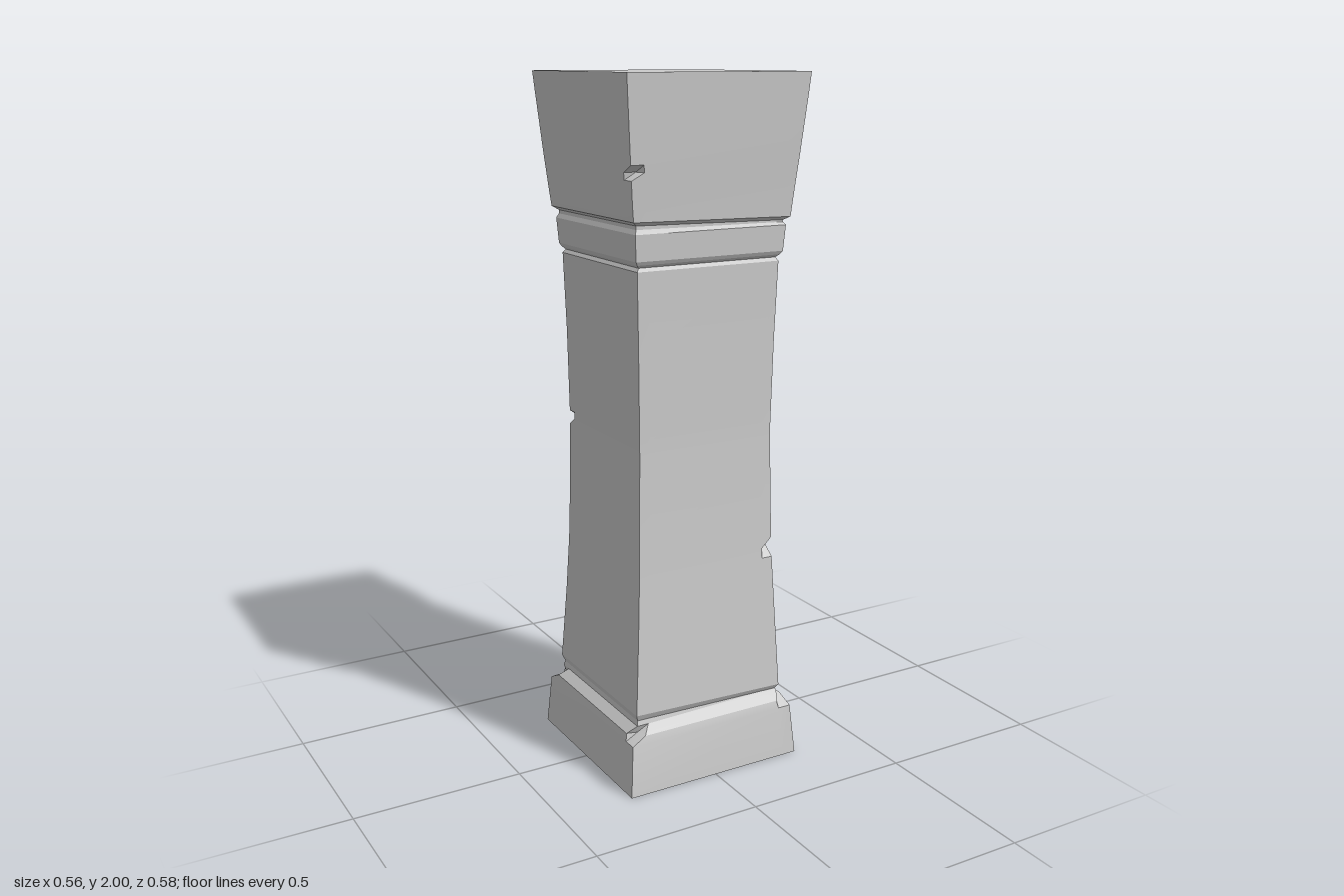
import * as THREE from 'three';
import { toCreasedNormals } from 'three/addons/utils/BufferGeometryUtils.js';

const stone = new THREE.MeshStandardMaterial({ color: 0xcccccc });
const clay = new THREE.MeshStandardMaterial({ color: 0x94806e, side: THREE.DoubleSide });

// Outline of the square section: [x factor, z factor, outward bow of the back]
const OUTLINE = [
  [-1, 1, 0], [-0.85, 1, 0], [0.85, 1, 0], [1, 1, 0],
  [1, 0.85, 0], [1, -0.85, 0], [1, -1, 0],
  [0.83, -1, 0.006], [0.4, -1, 0.015], [-0.4, -1, 0.015], [-0.83, -1, 0.006],
  [-1, -1, 0], [-1, -0.85, 0], [-1, 0.85, 0],
];

// Sections from bottom to top: y, half width, front z, back z, sideways tilt, chipped corners
const SECTIONS = [
  [0, 0.28, 0.288, 0.275],
  [0.15, 0.268, 0.274, 0.263],
  [0.172, 0.264, 0.268, 0.259, 0, [0, 3, 11]],
  [0.195, 0.238, 0.245, 0.235],
  [0.205, 0.235, 0.241, 0.23, -0.02],
  [0.222, 0.242, 0.25, 0.238, -0.03],
  [0.46, 0.229, 0.239, 0.222],
  [0.62, 0.221, 0.231, 0.215],
  [0.65, 0.22, 0.23, 0.214, 0, [3]],
  [0.68, 0.219, 0.229, 0.213],
  [0.98, 0.213, 0.222, 0.21],
  [1.0, 0.213, 0.222, 0.21, 0, [11]],
  [1.02, 0.213, 0.222, 0.21],
  [1.27, 0.217, 0.226, 0.212],
  [1.49, 0.223, 0.232, 0.218],
  [1.5, 0.216, 0.226, 0.211],
  [1.508, 0.225, 0.235, 0.219],
  [1.518, 0.231, 0.241, 0.224],
  [1.59, 0.236, 0.246, 0.229],
  [1.6, 0.23, 0.24, 0.223, -0.01],
  [1.608, 0.23, 0.24, 0.223, -0.02],
  [1.618, 0.245, 0.254, 0.239, -0.02],
  [1.665, 0.25, 0.258, 0.243],
  [1.73, 0.256, 0.264, 0.25],
  [1.75, 0.258, 0.266, 0.252, 0, [0]],
  [1.77, 0.26, 0.268, 0.254],
  [1.95, 0.276, 0.284, 0.27],
  [2, 0.28, 0.288, 0.275],
];

// Sunken areas in the back: columns, height range, depth
const RECESSES = [
  { from: 8, to: 8, low: 0.46, high: 1.27, depth: 0.1 },
  { from: 7, to: 9, low: 1.665, high: 1.95, depth: 0.06 },
];

function makePillar() {
  const n = OUTLINE.length;
  const rings = SECTIONS.map(([y, w, front, back, tilt = 0, chips = []]) =>
    OUTLINE.map(([u, v, bow], i) => {
      const k = chips.includes(i) ? 0.88 : 1;
      const z = v > 0 ? v * front : v * back - bow;
      return new THREE.Vector3(u * w * k, y + tilt * u * w, z * k);
    }));
  const pos = [];
  const tri = (...p) => p.forEach((v) => pos.push(v.x, v.y, v.z));
  const quad = (a, b, c, d) => { tri(a, b, c); tri(a, c, d); };
  const recessAt = (r, i) => RECESSES.find((h) => i >= h.from && i <= h.to
    && r >= 0 && r < SECTIONS.length - 1
    && SECTIONS[r][0] >= h.low && SECTIONS[r + 1][0] <= h.high);

  for (let r = 0; r < rings.length - 1; r++) {
    for (let i = 0; i < n; i++) {
      const j = (i + 1) % n;
      const cell = [rings[r][i], rings[r][j], rings[r + 1][j], rings[r + 1][i]];
      const hole = recessAt(r, i);
      if (!hole) { quad(...cell); continue; }
      // recess floor, then walls where the neighbouring cell is solid
      const deep = cell.map((p) => p.clone().setZ(p.z + hole.depth));
      quad(...deep);
      [[r - 1, i], [r, i + 1], [r + 1, i], [r, i - 1]].forEach(([nr, ni], e) => {
        const f = (e + 1) % 4;
        if (!recessAt(nr, ni)) quad(cell[e], cell[f], deep[f], deep[e]);
      });
    }
  }
  // bottom and top caps
  const bottom = rings[0], top = rings[rings.length - 1];
  for (let i = 0; i < n; i++) {
    const j = (i + 1) % n;
    tri(new THREE.Vector3(0, 0, 0), bottom[j], bottom[i]);
    tri(new THREE.Vector3(0, 2, 0), top[i], top[j]);
  }
  const geo = new THREE.BufferGeometry();
  geo.setAttribute('position', new THREE.Float32BufferAttribute(pos, 3));
  return toCreasedNormals(geo, 0.3);
}

const toPoints = (list) => list.map(([x, y]) => new THREE.Vector2(x, y));

function extrude(outline, holes, depth, bevel = 0) {
  const shape = new THREE.Shape(toPoints(outline));
  holes.forEach((h) => shape.holes.push(new THREE.Path(toPoints(h))));
  return new THREE.ExtrudeGeometry(shape, {
    depth: depth - bevel, bevelEnabled: bevel > 0, bevelThickness: bevel,
    bevelSize: bevel, bevelOffset: -bevel, bevelSegments: 1,
  });
}

// Four-sided outline with separate top and bottom half widths
const panel = (top, bottom, h) => [[-bottom, -h], [bottom, -h], [top, h], [-top, h]];

function add(parent, name, geometry, material, x = 0, y = 0, z = 0, turn = 0) {
  const mesh = new THREE.Mesh(geometry, material);
  mesh.name = name;
  mesh.position.set(x, y, z);
  mesh.rotation.z = turn;
  parent.add(mesh);
  return mesh;
}

// Group facing the back, leaning with the wall
function backGroup(parent, name, y, z, lean) {
  const g = new THREE.Group();
  g.name = name;
  g.position.set(0, y, z);
  g.rotation.set(lean, Math.PI, 0);
  parent.add(g);
  return g;
}

function addSkull(g) {
  const half = [[0.045, 0.12], [0.13, 0.118], [0.168, 0.095], [0.175, 0.01], [0.15, -0.03],
    [0.1, -0.042], [0.075, -0.055], [0.07, -0.085]];
  const outline = [...half, ...half.map(([x, y]) => [-x, y]).reverse()];
  const eye = (cx) => Array.from({ length: 6 }, (_, k) => {
    const a = Math.PI / 2 + k * Math.PI / 3;
    return [cx + 0.046 * Math.cos(a), 0.022 + 0.046 * Math.sin(a)];
  });
  const nose = [[0, -0.012], [-0.022, -0.058], [0.022, -0.058]];
  add(g, 'skullCarving', extrude(outline, [eye(0.078), eye(-0.078), nose], 0.04, 0.006), clay);
  add(g, 'noseHollow', new THREE.BoxGeometry(0.06, 0.06, 0.006), clay, 0, -0.035, 0.008);
  for (const s of [-1, 1]) {
    const socket = new THREE.ConeGeometry(0.052, 0.032, 6, 1, true).toNonIndexed();
    socket.computeVertexNormals();
    add(g, 'eyeSocket', socket.rotateX(-Math.PI / 2), clay, s * 0.078, 0.022, 0.018);
    add(g, 'brow', new THREE.BoxGeometry(0.085, 0.018, 0.014), clay, s * 0.075, 0.075, 0.04, s * 0.2);
    add(g, 'cheekbone', new THREE.BoxGeometry(0.07, 0.02, 0.014), clay, s * 0.105, -0.03, 0.038, s * 0.25);
    add(g, 'boneEnd', new THREE.BoxGeometry(0.06, 0.026, 0.036), clay, s * 0.13, -0.085, 0.018, -s * 0.35);
    add(g, 'boneKnob', new THREE.BoxGeometry(0.024, 0.036, 0.04), clay, s * 0.152, -0.096, 0.02, -s * 0.35);
  }
  for (let k = 0; k < 4; k++) {
    add(g, 'tooth', new THREE.BoxGeometry(0.026, 0.038, 0.034), clay, (k - 1.5) * 0.033, -0.1, 0.019);
  }
}

export function createModel() {
  const model = new THREE.Group();
  model.name = 'pillar';
  add(model, 'pillarBody', makePillar(), stone);

  // raised frame around the tall niche
  const niche = backGroup(model, 'nicheFrame', 0.86, -0.212, 0.017);
  add(niche, 'frame', extrude(panel(0.13, 0.13, 0.46), [panel(0.084, 0.086, 0.405)], 0.034, 0.004), clay);

  // carved panel in the capital
  const carving = backGroup(model, 'capitalPanel', 1.8075, -0.213, -0.096);
  add(carving, 'panelLip', extrude(panel(0.23, 0.208, 0.142), [panel(0.208, 0.188, 0.124)], 0.03), stone);
  addSkull(carving);
  return model;
}
